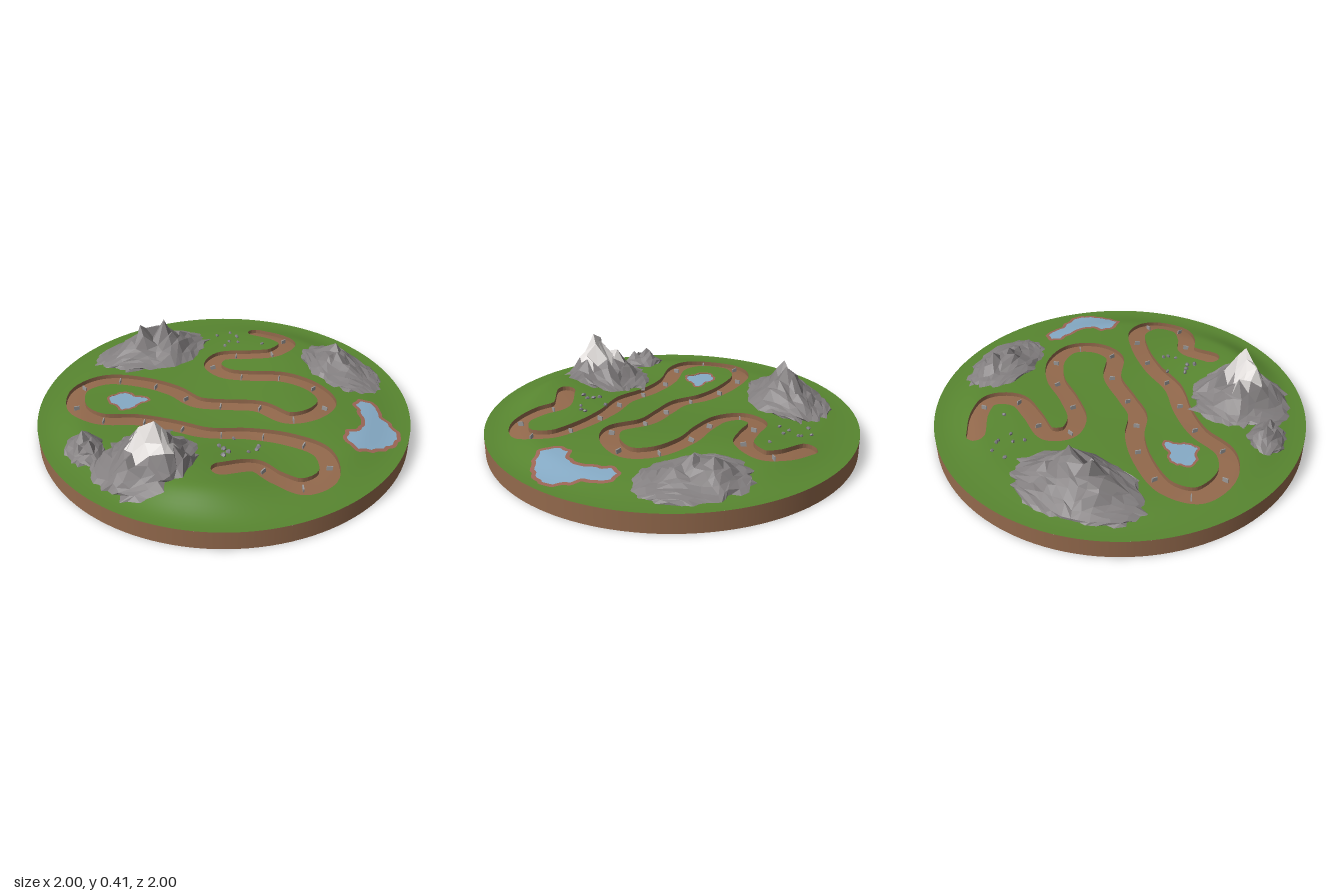
import * as THREE from 'three';
import { mergeVertices } from 'three/addons/utils/BufferGeometryUtils.js';

const mat = (name, color, side = THREE.FrontSide) => {
  const m = new THREE.MeshStandardMaterial({ color, side });
  m.name = name;
  return m;
};

let seed = 7;
const rand = () => {
  seed = (seed * 16807) % 2147483647;
  return seed / 2147483647;
};

// Gentle hills: x, z, height, spread
const hills = [
  [0.5, 0.55, 0.066, 0.25], [0.33, -0.25, 0.038, 0.28], [-0.15, -0.6, 0.042, 0.25],
  [-0.6, 0.1, 0.016, 0.35], [-0.3, 0.76, 0.022, 0.22], [0.78, -0.15, 0.022, 0.24]
];
function ground(x, z) {
  const fade = 1 - THREE.MathUtils.smoothstep(Math.hypot(x, z), 0.76, 0.98);
  let y = 0.006;
  for (const [a, b, h, s] of hills) y += h * Math.exp(-((x - a) ** 2 + (z - b) ** 2) / (2 * s * s));
  return 0.1 + y * fade;
}

const curve = (pts, closed) =>
  new THREE.CatmullRomCurve3(pts.map(([x, z]) => new THREE.Vector3(x, 0, z)), closed, 'centripetal');

// Winding track centre line
const track = curve([
  [-0.46, -0.65], [-0.31, -0.69], [-0.2, -0.67], [-0.17, -0.53], [-0.26, -0.41], [-0.37, -0.29],
  [-0.33, -0.19], [-0.21, -0.18], [-0.07, -0.27], [0.07, -0.39], [0.25, -0.445], [0.39, -0.4],
  [0.43, -0.26], [0.37, -0.13], [0.18, -0.09], [0.03, 0.03], [-0.09, 0.12], [-0.26, 0.145],
  [-0.44, 0.23], [-0.6, 0.38], [-0.61, 0.54], [-0.45, 0.65], [-0.29, 0.62], [-0.155, 0.46],
  [0, 0.35], [0.18, 0.26], [0.33, 0.11], [0.51, -0.01], [0.68, -0.06], [0.81, 0.03],
  [0.79, 0.18], [0.67, 0.245], [0.55, 0.27], [0.48, 0.42]
], false);
const trackPts = track.getSpacedPoints(600);
const HALF = 0.051;

// Lake shorelines, slightly wavy
const lakes = [
  [[0.49, -0.58], [0.57, -0.6], [0.64, -0.55], [0.72, -0.535], [0.81, -0.5], [0.845, -0.41], [0.825, -0.29],
    [0.77, -0.21], [0.68, -0.225], [0.64, -0.28], [0.66, -0.35], [0.62, -0.42], [0.545, -0.47], [0.48, -0.52]],
  [[-0.43, 0.39], [-0.395, 0.35], [-0.35, 0.345], [-0.315, 0.31], [-0.268, 0.305], [-0.275, 0.365],
    [-0.262, 0.42], [-0.29, 0.485], [-0.33, 0.475], [-0.375, 0.49], [-0.435, 0.46], [-0.43, 0.42]]
].map((p, n) => curve(p, true).getSpacedPoints(120).map((v, i) => {
  const t = (i / 120) * Math.PI * 2, w = n ? 0.002 : 0.005;
  return v.set(v.x + w * Math.sin(t * 17), 0, v.z + w * Math.cos(t * 13));
}));

const nearest = (pts, x, z) => pts.reduce((m, p) => Math.min(m, Math.hypot(p.x - x, p.z - z)), 9);
function inside(pts, x, z) {
  let c = false;
  for (let i = 0, j = pts.length - 1; i < pts.length; j = i++) {
    const a = pts[i], b = pts[j];
    if ((a.z > z) !== (b.z > z) && x < ((b.x - a.x) * (z - a.z)) / (b.z - a.z) + a.x) c = !c;
  }
  return c;
}
const trackField = (x, z) => nearest(trackPts, x, z) - HALF;
const lakeField = (x, z) => Math.min(...lakes.map((l) => nearest(l, x, z) * (inside(l, x, z) ? -1 : 1)));

function geo(positions, smooth) {
  let g = new THREE.BufferGeometry();
  g.setAttribute('position', new THREE.Float32BufferAttribute(positions, 3));
  if (smooth) g = mergeVertices(g, 1e-4);
  g.computeVertexNormals();
  return g;
}

// Part of a triangle on one side of the field's zero line, plus the crossing points
function clip(tri, sign) {
  const poly = [], cuts = [];
  tri.forEach((a, i) => {
    const b = tri[(i + 1) % 3];
    if (a.f * sign > 0) poly.push(a);
    if (a.f > 0 !== b.f > 0) {
      const t = a.f / (a.f - b.f);
      const c = { x: a.x + (b.x - a.x) * t, z: a.z + (b.z - a.z) * t };
      poly.push(c);
      cuts.push(c);
    }
  });
  return { poly, cuts };
}

// Grass disc with the track and the lakes cut into it
function buildLand() {
  const out = { grass: [], track: [], walls: [], water: [] };
  const put = (arr, p, drop) => arr.push(p.x, ground(p.x, p.z) - drop, p.z);
  const R = 45, S = 200, grid = [];
  for (let i = 0; i <= R; i++) {
    grid.push([]);
    for (let j = 0; j < S; j++) {
      const a = (j / S) * Math.PI * 2, x = (i / R) * Math.cos(a), z = (i / R) * Math.sin(a);
      const t = trackField(x, z), l = lakeField(x, z);
      grid[i].push({ x, z, f: Math.min(t, l) || 1e-6, lake: l < t });
    }
  }
  const add = (tri) => {
    const lake = tri.some((p) => p.f < 0 && p.lake), drop = lake ? 0.004 : 0.024;
    for (const [sign, arr, d] of [[1, out.grass, 0], [-1, lake ? out.water : out.track, drop]]) {
      const { poly, cuts } = clip(tri, sign);
      for (let k = 1; k + 1 < poly.length; k++) [poly[0], poly[k], poly[k + 1]].forEach((p) => put(arr, p, d));
      if (sign > 0 && cuts.length === 2) {
        const [p, q] = cuts;
        [[p, 0], [q, 0], [q, drop], [p, 0], [q, drop], [p, drop]].forEach(([v, e]) => put(out.walls, v, e));
      }
    }
  };
  for (let i = 0; i < R; i++) for (let j = 0; j < S; j++) {
    const k = (j + 1) % S, a = grid[i][j], b = grid[i][k], c = grid[i + 1][j], d = grid[i + 1][k];
    add([a, d, c]);
    if (i > 0) add([a, b, d]);
  }
  return out;
}

// Narrow muddy bank following a shoreline
function bank(pts, width) {
  const pos = [], n = pts.length - 1;
  const edge = (i) => {
    const p = pts[i % n], q = pts[(i + 2) % n], o = pts[(i + n - 2) % n];
    const dx = q.x - o.x, dz = q.z - o.z, l = Math.hypot(dx, dz);
    return [0.006, 0.006 - width].map((w) => {
      const x = p.x + (dz / l) * w, z = p.z - (dx / l) * w;
      return [x, ground(x, z) + 0.002, z];
    });
  };
  for (let i = 0; i < n; i++) {
    const [a, b] = edge(i), [c, d] = edge(i + 1);
    pos.push(...a, ...b, ...d, ...a, ...d, ...c);
  }
  return geo(pos);
}

// Craggy mountain: a jittered grid rounded to an ellipse and lifted by sharp peaks [x, y, z, reach]
function mountain(cx, cz, rx, rz, lean, peaks, snowLine, N = 12) {
  const grid = [], rock = [], snow = [];
  for (let i = 0; i <= N; i++) {
    grid.push([]);
    for (let j = 0; j <= N; j++) {
      const rim = i === 0 || j === 0 || i === N || j === N;
      const jit = () => (rim ? 0 : (rand() - 0.5) * 0.7);
      const u = (2 * (i + jit())) / N - 1, v = (2 * (j + jit())) / N - 1;
      const e = Math.max(Math.abs(u), Math.abs(v)), k = rim ? 0.86 + 0.25 * rand() : 1;
      const z = cz + rz * k * v * Math.sqrt(1 - (u * u) / 2);
      const x = cx + rx * k * u * Math.sqrt(1 - (v * v) / 2) + lean * (z - cz);
      let lift = 0.055 * (1 - e);
      for (const [px, py, pz, reach] of peaks) {
        const d = Math.min(1, Math.hypot(x - px, z - pz) / reach);
        lift = Math.max(lift, (py - ground(px, pz)) * (1 - d) ** 1.3);
      }
      const y = ground(x, z) + (rim ? -0.006 : lift * (0.68 + 0.42 * rand()) + 0.005);
      grid[i].push({ x, y, z, rim });
    }
  }
  // Pull the closest corner onto each summit
  const inner = grid.flat().filter((p) => !p.rim);
  for (const [x, y, z] of peaks) {
    const best = inner.reduce((m, p) => (Math.hypot(p.x - x, p.z - z) < Math.hypot(m.x - x, m.z - z) ? p : m));
    Object.assign(best, { x, y, z });
  }
  const add = (...t) => {
    const arr = (t[0].y + t[1].y + t[2].y) / 3 > snowLine ? snow : rock;
    t.forEach((p) => arr.push(p.x, p.y, p.z));
  };
  for (let i = 0; i < N; i++) for (let j = 0; j < N; j++) {
    const a = grid[i][j], b = grid[i][j + 1], c = grid[i + 1][j], d = grid[i + 1][j + 1];
    if ((i < N / 2) === (j < N / 2)) { add(a, b, c); add(c, b, d); }
    else { add(a, b, d); add(a, d, c); }
  }
  return { rock, snow };
}

export function createModel() {
  const root = new THREE.Group();
  const D = THREE.DoubleSide;
  const grass = mat('grass green', 0x588630), soil = mat('soil brown', 0x93694c, D);
  const under = mat('dark earth', 0x6b513d), water = mat('water blue', 0x86abc6, D);
  const mud = mat('bank mud', 0x9c6656, D), stone = mat('rock grey', 0x848081, D);
  const ice = mat('snow', 0xe2dedc, D), pebble = mat('pebble grey', 0x7c7b80);
  const slate = mat('pale stone', 0x9c9a9a);
  const add = (name, g, m, parent = root) => {
    const mesh = new THREE.Mesh(g, m);
    mesh.name = name;
    parent.add(mesh);
    return mesh;
  };

  // Round base
  add('baseSide', new THREE.CylinderGeometry(1, 1, 0.1, 128, 1, true).translate(0, 0.05, 0), soil);
  add('baseBottom', new THREE.CircleGeometry(1, 128).rotateX(Math.PI / 2), under);

  // Land, track and lakes
  const land = buildLand();
  add('grassland', geo(land.grass, true), grass);
  add('trackFloor', geo(land.track, true), soil);
  add('trackWalls', geo(land.walls), soil);
  add('lakeWater', geo(land.water, true), water);
  lakes.forEach((l, i) => add('lakeBank', bank(l, i ? 0.013 : 0.021), mud));

  // Mountains
  const ranges = {
    backMountain: mountain(0.18, -0.73, 0.285, 0.195, 0.2,
      [[0.1, 0.245, -0.77, 0.16], [0.17, 0.245, -0.7, 0.17], [0.27, 0.19, -0.71, 0.14]], 9),
    leftMountain: mountain(-0.7, -0.03, 0.23, 0.36, -0.12,
      [[-0.71, 0.315, 0.05, 0.2], [-0.65, 0.33, -0.08, 0.22], [-0.76, 0.24, -0.02, 0.15], [-0.66, 0.21, -0.2, 0.15], [-0.71, 0.19, 0.17, 0.13]], 9, 13),
    frontMountain: mountain(0.17, 0.64, 0.25, 0.28, 0.05,
      [[0.25, 0.41, 0.63, 0.17], [0.19, 0.365, 0.68, 0.17], [0.11, 0.3, 0.62, 0.16], [0.31, 0.28, 0.57, 0.13], [0.2, 0.28, 0.53, 0.13], [0.22, 0.24, 0.78, 0.12]], 0.25, 12),
    smallMountain: mountain(-0.115, 0.81, 0.13, 0.105, 0.1,
      [[-0.14, 0.22, 0.8, 0.1], [-0.06, 0.205, 0.81, 0.08], [-0.1, 0.18, 0.85, 0.06]], 9, 8)
  };
  for (const [name, { rock, snow }] of Object.entries(ranges)) {
    const g = new THREE.Group();
    g.name = name;
    root.add(g);
    add(name + 'Rock', geo(rock), stone, g);
    if (snow.length) add(name + 'Snow', geo(snow), ice, g);
  }

  // Loose rocks on the grass
  const chip = new THREE.DodecahedronGeometry(1, 0);
  [[-0.56, -0.52], [-0.5, -0.52], [-0.485, -0.515], [-0.59, -0.44], [-0.475, -0.44], [-0.425, -0.47], [-0.45, -0.385], [-0.3, -0.555],
    [0.445, 0.15], [0.46, 0.175], [0.45, 0.22], [0.32, 0.3], [0.355, 0.3], [0.39, 0.3], [0.4, 0.34], [0.315, 0.2]
  ].forEach(([x, z]) => {
    const s = 0.011 + 0.004 * rand(), m = add('looseRock', chip, pebble);
    m.position.set(x, ground(x, z) + 0.003, z);
    m.rotation.set(rand() * 3, rand() * 6, 0);
    m.scale.set(s, s * 0.7, s * (0.7 + 0.4 * rand()));
  });

  // Thin upright stones standing across the track
  const slab = new THREE.BoxGeometry(0.03, 0.024, 0.006);
  for (let i = 1; i < 26; i++) {
    const p = track.getPointAt(i / 26), t = track.getTangentAt(i / 26);
    const m = add('trackStone', slab, slate);
    m.position.set(p.x, ground(p.x, p.z) - 0.013, p.z);
    m.rotation.set(0, Math.atan2(t.x, t.z), (rand() - 0.5) * 0.5);
  }
  return root;
}
